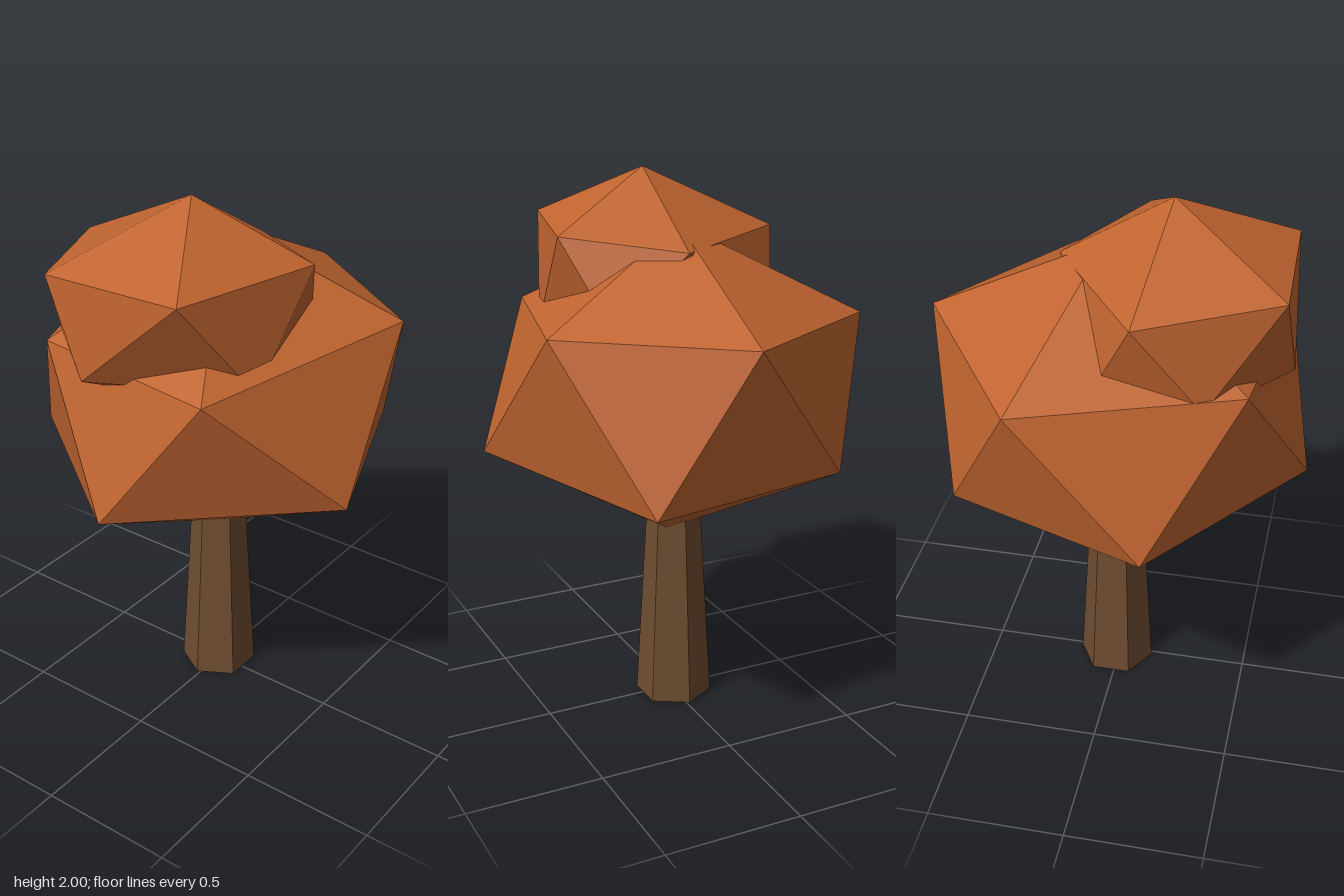
import * as THREE from 'three';

const leafMat = new THREE.MeshStandardMaterial({ name: 'rust leaves', color: 0xc06430, flatShading: true });
const barkMat = new THREE.MeshStandardMaterial({ name: 'brown bark', color: 0x6f4d31, flatShading: true });

// Irregular icosahedron: top, five upper points, five lower points, bottom.
// Lower point i sits between upper points i and i + 1.
function leafClump(name, top, upper, lower, bottom) {
  const points = [top, ...upper, ...lower, bottom];
  const index = [];
  for (let i = 0; i < 5; i++) {
    const u = 1 + i, un = 1 + (i + 1) % 5;
    const l = 6 + i, ln = 6 + (i + 1) % 5;
    index.push(0, u, un, u, l, un, un, l, ln, 11, ln, l);
  }
  const indexed = new THREE.BufferGeometry();
  indexed.setAttribute('position', new THREE.Float32BufferAttribute(points.flat(), 3));
  indexed.setIndex(index);
  const geometry = indexed.toNonIndexed();
  geometry.computeVertexNormals();
  const mesh = new THREE.Mesh(geometry, leafMat);
  mesh.name = name;
  return mesh;
}

export function createModel() {
  const tree = new THREE.Group();
  tree.name = 'tree';

  // Tapered six-sided trunk, running up into the foliage
  const trunkGeo = new THREE.CylinderGeometry(0.095, 0.143, 0.85, 6);
  trunkGeo.rotateY(Math.PI / 6);
  const trunk = new THREE.Mesh(trunkGeo, barkMat);
  trunk.name = 'trunk';
  trunk.position.set(0.012, 0.425, -0.012);
  tree.add(trunk);

  // Main foliage
  tree.add(leafClump('mainFoliage',
    [0.05, 1.83, -0.01],
    [[-0.57, 1.475, 0.35], [0.285, 1.53, 0.58], [0.685, 1.52, 0], [0.255, 1.49, -0.645], [-0.5, 1.49, -0.365]],
    [[-0.17, 1.02, 0.66], [0.615, 0.97, 0.34], [0.515, 0.99, -0.417], [-0.2, 0.975, -0.66], [-0.69, 0.98, 0.005]],
    [-0.02, 0.66, 0]));

  // Smaller clump on the upper right side
  tree.add(leafClump('topFoliage',
    [-0.18, 2, 0.02],
    [[-0.585, 1.8, 0.27], [-0.03, 1.8, 0.41], [0.22, 1.755, 0.03], [-0.125, 1.76, -0.48], [-0.6, 1.79, -0.26]],
    [[-0.31, 1.43, 0.38], [0.15, 1.5, 0.29], [0.01, 1.49, -0.41], [-0.36, 1.45, -0.42], [-0.625, 1.46, -0.1]],
    [-0.23, 1.27, -0.01]));

  return tree;
}
